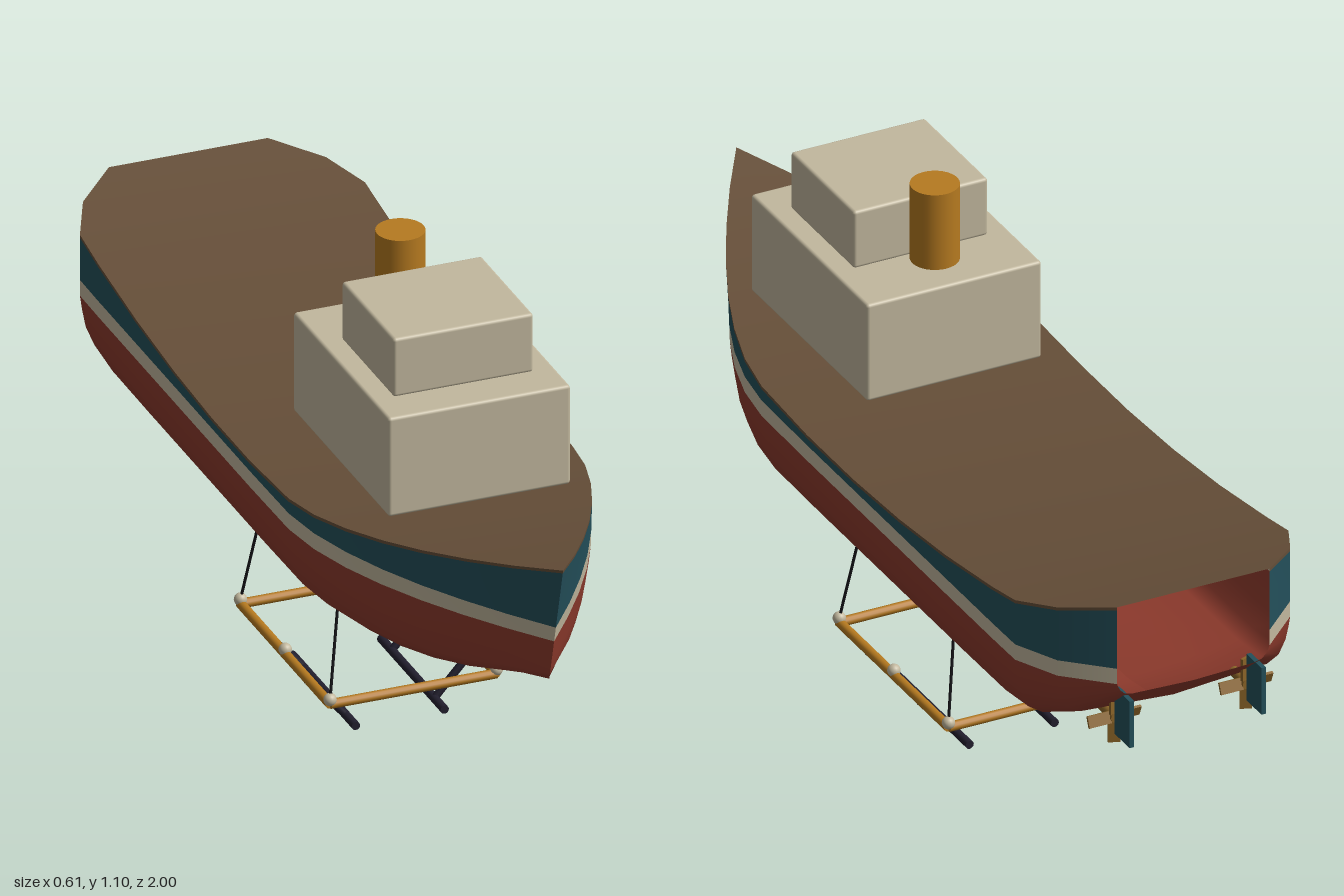
import * as THREE from 'three';
import { RoundedBoxGeometry } from 'three/addons/geometries/RoundedBoxGeometry.js';

const mat = (name, color, side = THREE.FrontSide) => {
  const m = new THREE.MeshStandardMaterial({ color, side });
  m.name = name;
  return m;
};

// Hull stations: [z, half width, keel height]
const STATIONS = [
  [-0.98, 0.17, 0.53], [-0.895, 0.26, 0.455], [-0.8, 0.305, 0.408], [-0.7, 0.306, 0.392],
  [-0.5, 0.306, 0.39], [-0.3, 0.306, 0.39], [-0.1, 0.306, 0.39], [0.1, 0.306, 0.39],
  [0.3, 0.304, 0.39], [0.4, 0.29, 0.39], [0.5, 0.262, 0.39], [0.6, 0.224, 0.391],
  [0.7, 0.178, 0.398], [0.8, 0.125, 0.413], [0.9, 0.066, 0.438], [1, 0, 0.47],
];
const sheer = (z) => 0.622 + 0.123 * z * z;
const LOW = 0.565, HIGH = 0.6, RIM = 0.007;

// Bottom profile: [fraction of half width, fraction of height from keel to stripe]
const BILGE = [[0, 0], [0.4, 0.07], [0.8, 0.14], [0.9, 0.27], [0.96, 0.55], [0.985, 0.8], [1, 1]];

// Surface through rows of points, one row per station
function loft(rows, flip) {
  const n = rows[0].length, pos = rows.flat(2), index = [];
  for (let i = 0; i < rows.length - 1; i++) {
    for (let j = 0; j < n - 1; j++) {
      const a = i * n + j, b = a + 1, c = a + n, d = c + 1;
      if (flip) index.push(a, c, b, b, c, d);
      else index.push(a, b, c, b, d, c);
    }
  }
  const g = new THREE.BufferGeometry();
  g.setAttribute('position', new THREE.Float32BufferAttribute(pos, 3));
  g.setIndex(index);
  g.computeVertexNormals();
  return g;
}

// One painted band of the hull; section(station) gives [x, y] pairs
function hullBand(side, section) {
  const rows = STATIONS.map((st) => {
    const [z, , keel] = st, top = sheer(z);
    const rake = 0.073 * THREE.MathUtils.smoothstep(z, 0.4, 1);
    return section(st).map(([x, y]) => [side * x, y, z - rake * (top - y) / (top - keel)]);
  });
  return loft(rows, side < 0);
}

export function createModel() {
  const D = THREE.DoubleSide;
  const red = mat('red hull paint', 0x8f3b2d, D);
  const cream = mat('cream paint', 0xc2b89e, D);
  const teal = mat('teal paint', 0x24505b, D);
  const brown = mat('brown deck', 0x654e38, D);
  const gold = mat('ochre metal', 0xb67a20);
  const bronze = mat('bronze', 0x8a6428, D);
  const navy = mat('dark skid', 0x221f2e);
  const black = mat('black cable', 0x141418);

  const root = new THREE.Group();
  const add = (name, geo, material, x = 0, y = 0, z = 0, parent = root) => {
    const m = new THREE.Mesh(geo, material);
    m.name = name;
    m.position.set(x, y, z);
    parent.add(m);
    return m;
  };
  const rod = (name, a, b, r, material) => {
    const p = new THREE.Vector3(...a), q = new THREE.Vector3(...b);
    const m = add(name, new THREE.CylinderGeometry(r, r, p.distanceTo(q), 12), material);
    m.position.copy(p).add(q).multiplyScalar(0.5);
    m.quaternion.setFromUnitVectors(new THREE.Vector3(0, 1, 0), q.sub(p).normalize());
    return m;
  };

  // Hull shell in painted bands, open at the stern
  for (const s of [1, -1]) {
    add('hullBottom', hullBand(s, ([, w, k]) =>
      BILGE.map(([fx, fy]) => [w * fx, k + (LOW - k) * fy])), red);
    add('waterlineStripe', hullBand(s, ([, w]) => [[w, LOW], [w, HIGH]]), cream);
    add('hullTopside', hullBand(s, ([z, w]) => [[w, HIGH], [w, sheer(z) - RIM]]), teal);
    add('deckRim', hullBand(s, ([z, w]) => [[w, sheer(z) - RIM], [w, sheer(z)]]), brown);
  }
  add('deck', loft(STATIONS.map(([z, w]) =>
    [1, 0, -1].map((f) => [f * w, sheer(z), z])), false).scale(1, 1, 1), brown);
  // Turn the deck so its normals face up
  const deck = root.children[root.children.length - 1].geometry;
  if (deck.attributes.normal.getY(20) < 0) {
    deck.index.array.reverse();
    deck.computeVertexNormals();
  }

  // Deckhouse, bridge and funnel
  add('deckhouse', new RoundedBoxGeometry(0.39, 0.22, 0.505, 2, 0.007), cream, 0, 0.802, 0.307);
  add('bridge', new RoundedBoxGeometry(0.3, 0.13, 0.275, 2, 0.007), cream, 0, 0.975, 0.337);
  add('funnel', new THREE.CylinderGeometry(0.05, 0.05, 0.17, 32), gold, 0, 1.013, 0.14);

  // Twin rudders and propellers
  for (const s of [1, -1]) {
    const x = s * 0.147;
    add('rudder', new THREE.BoxGeometry(0.01, 0.106, 0.065), teal, x, 0.477, -0.967);
    const prop = new THREE.Group();
    prop.name = 'propeller';
    prop.position.set(x, 0.457, -0.922);
    root.add(prop);
    add('hub', new THREE.CylinderGeometry(0.011, 0.011, 0.06, 12).rotateX(Math.PI / 2),
      bronze, 0, 0, 0.022, prop);
    for (let i = 0; i < 4; i++) {
      const blade = new THREE.BoxGeometry(0.025, 0.05, 0.006)
        .rotateY(0.4).translate(0, 0.033, 0).rotateZ(i * Math.PI / 2);
      add('blade', blade, bronze, 0, 0, 0, prop);
    }
  }

  // Suspended frame: rails, end bars, joints, cables and skids
  const FRONT = 0.208, BACK = -0.265, X = 0.178, Y = 0.108;
  for (const z of [FRONT, BACK]) rod('endBar', [-X, Y, z], [X, Y, z], 0.01, gold);
  for (const s of [1, -1]) {
    rod('sideRail', [s * X, Y, FRONT], [s * X, Y, BACK], 0.01, gold);
    for (const z of [FRONT, (FRONT + BACK) / 2, BACK]) {
      add('joint', new THREE.SphereGeometry(0.0135, 16, 12), cream, s * X, 0.118, z);
    }
    rod('frontCable', [s * 0.134, 0.41, 0.162], [s * X, 0.118, FRONT], 0.003, black);
    rod('backCable', [s * 0.134, 0.41, -0.216], [s * X, 0.118, BACK], 0.003, black);
    rod('skid', [s * 0.095, 0.011, 0.14], [s * 0.095, 0.011, -0.196], 0.009, navy);
    for (const z of [0.085, -0.14]) {
      rod('skidLeg', [s * X, 0.104, z], [s * 0.095, 0.011, z], 0.008, navy);
    }
  }
  return root;
}
